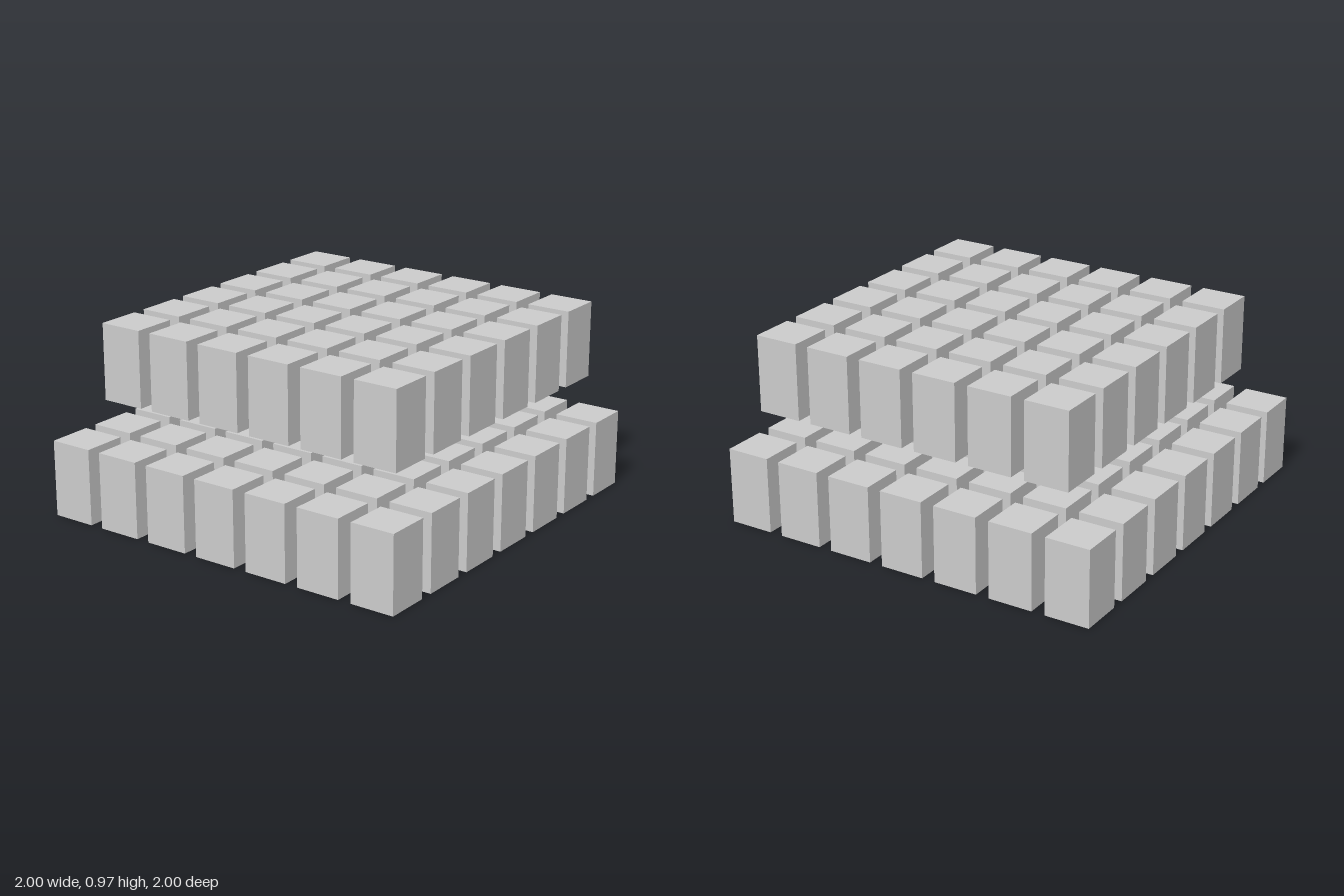
import * as THREE from 'three';

const WIDTH = 0.227;   // block footprint
const HEIGHT = 0.388;  // block height
const PITCH = 0.2955;  // spacing between block centres

// Square grid of separate upright blocks, centred on (cx, cz) and resting at baseY
function blockLayer(name, count, cx, baseY, cz, geometry, material) {
  const layer = new THREE.Group();
  layer.name = name;
  layer.position.set(cx, baseY + HEIGHT / 2, cz);
  const middle = (count - 1) / 2;
  for (let row = 0; row < count; row++) {
    for (let col = 0; col < count; col++) {
      const block = new THREE.Mesh(geometry, material);
      block.name = `${name}Block_${row + 1}_${col + 1}`;
      block.position.set((col - middle) * PITCH, 0, (row - middle) * PITCH);
      layer.add(block);
    }
  }
  return layer;
}

export function createModel() {
  const model = new THREE.Group();
  model.name = 'blockStack';
  const material = new THREE.MeshStandardMaterial({ color: 0xcccccc, flatShading: true });
  const geometry = new THREE.BoxGeometry(WIDTH, HEIGHT, WIDTH);

  // Lower 7 x 7 layer, and a smaller floating 6 x 6 layer slightly off centre
  model.add(blockLayer('lowerLayer', 7, 0, 0, 0, geometry, material));
  model.add(blockLayer('upperLayer', 6, 0.023, 0.577, -0.047, geometry, material));
  return model;
}
